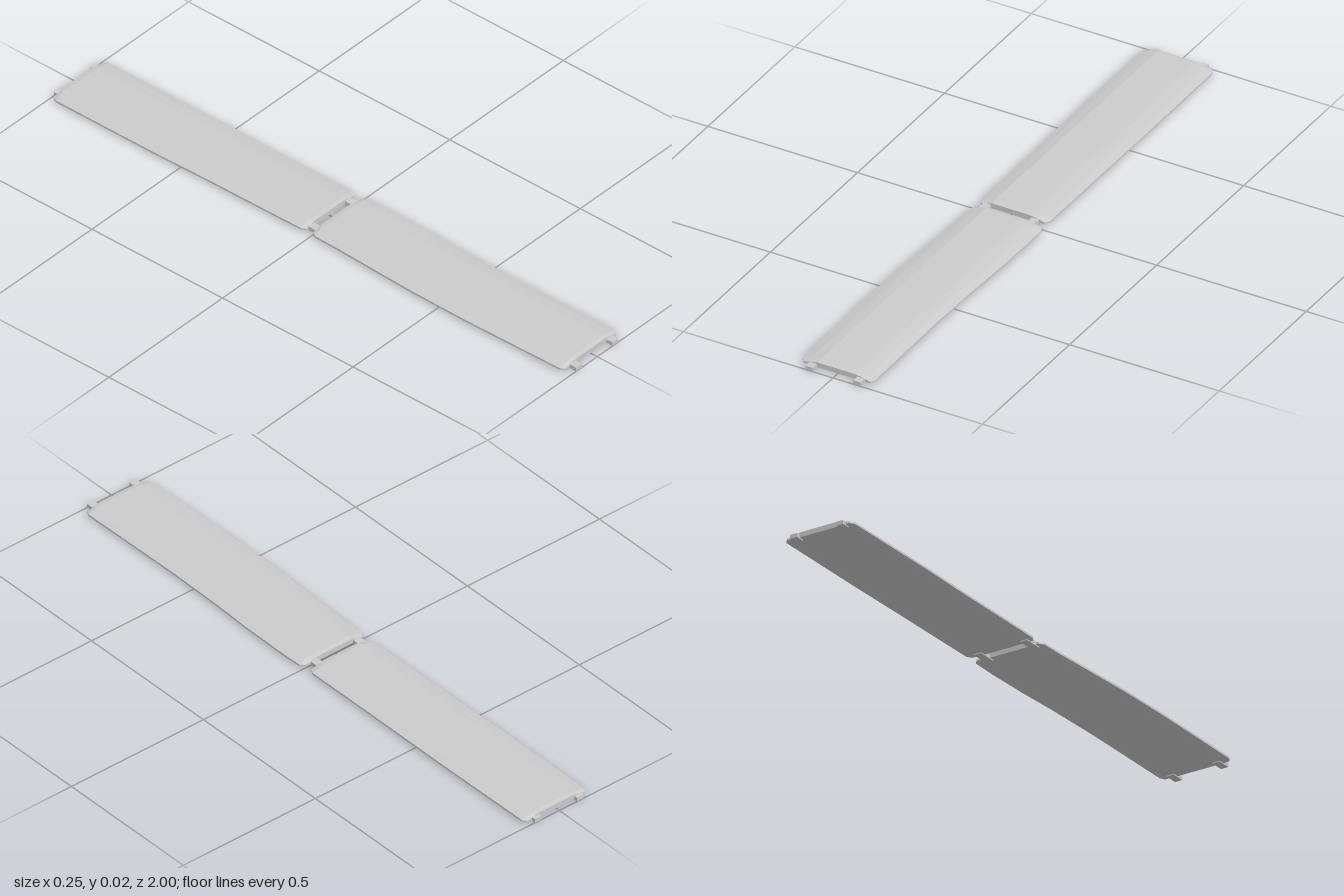
import * as THREE from 'three';

const material = new THREE.MeshStandardMaterial({ color: 0xcccccc, flatShading: true });

// Closed cross-section, counter-clockwise seen from +z; drop lowers the bevelled ends
function section([z, left, right, drop = 0]) {
  const top = 0.021 - drop;
  return [
    [left, 0.004], [left * 0.82, 0.003], [right * 0.82, 0.003], [right, 0.004],
    [right, 0.010 - drop / 2], [right * 0.8, 0.016 - drop], [0.068, 0.020 - drop], [0.045, top],
    [-0.066, top], [left * 0.8, 0.016 - drop], [left, 0.010 - drop / 2],
  ].map(([x, y]) => [x, y, z]);
}

// Skin the sections and close both ends
function loft(stations) {
  const rings = stations.map(section);
  const n = rings[0].length;
  const positions = rings.flat(2);
  const index = [];
  for (let i = 0; i < rings.length - 1; i++) {
    for (let j = 0; j < n; j++) {
      const a = i * n + j, b = i * n + (j + 1) % n;
      index.push(a, b, b + n, a, b + n, a + n);
    }
  }
  const last = (rings.length - 1) * n;
  const centre = rings.length * n;
  positions.push(0, 0.01, stations[0][0], 0, 0.01, stations.at(-1)[0]);
  for (let j = 0; j < n; j++) {
    const k = (j + 1) % n;
    index.push(centre, k, j, centre + 1, last + j, last + k);
  }
  const geometry = new THREE.BufferGeometry();
  geometry.setAttribute('position', new THREE.Float32BufferAttribute(positions, 3));
  geometry.setIndex(index);
  geometry.computeVertexNormals();
  return geometry;
}

export function createModel() {
  const group = new THREE.Group();
  const add = (name, geometry) => {
    const mesh = new THREE.Mesh(geometry, material);
    mesh.name = name;
    group.add(mesh);
    return mesh;
  };

  // Two long plates with gently uneven edges: z, left edge, right edge, end bevel
  add('backPlate', loft([
    [-0.988, -0.107, 0.111, 0.002], [-0.975, -0.116, 0.121], [-0.6, -0.116, 0.123],
    [-0.4, -0.112, 0.122], [-0.1, -0.110, 0.122], [-0.04, -0.109, 0.122], [-0.025, -0.101, 0.112, 0.002],
  ]));
  add('frontPlate', loft([
    [0.001, -0.102, 0.113, 0.002], [0.015, -0.112, 0.125], [0.1, -0.113, 0.127], [0.25, -0.120, 0.125],
    [0.4, -0.126, 0.119], [0.6, -0.128, 0.116], [0.8, -0.125, 0.118], [0.962, -0.122, 0.120],
    [0.976, -0.112, 0.111, 0.002],
  ]));

  // Connector tabs at the outer ends and across the gap
  for (const [name, z0, z1] of [['backTab', -1, -0.97], ['middleTab', -0.045, 0.02], ['frontTab', 0.955, 1]]) {
    for (const side of [-1, 1]) {
      const tab = add(name, new THREE.BoxGeometry(0.025, 0.013, z1 - z0));
      tab.position.set(side * 0.08, 0.0065, (z0 + z1) / 2);
    }
  }
  return group;
}
